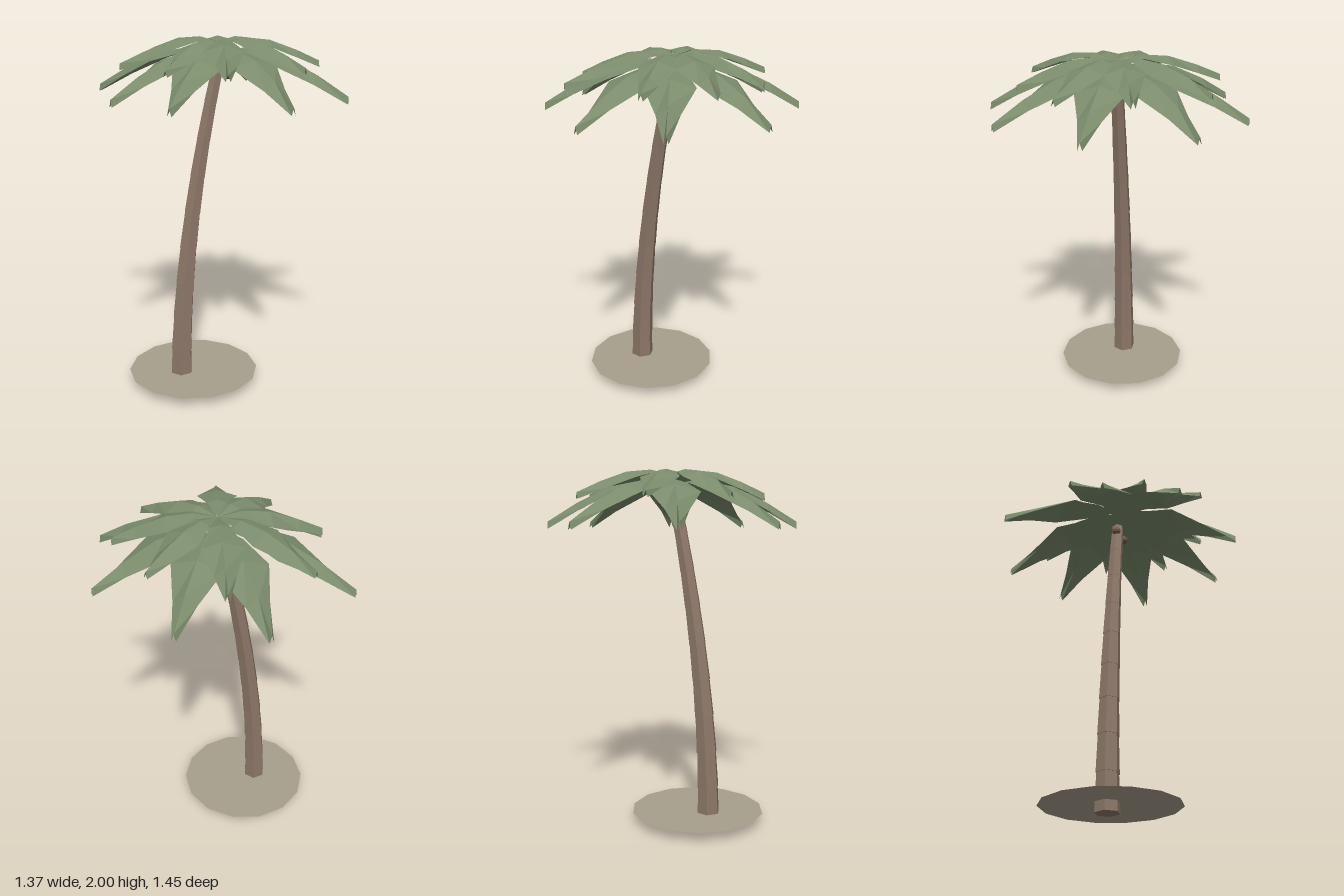
import * as THREE from 'three';

const mat = (name, color, extra = {}) => {
  const m = new THREE.MeshStandardMaterial({ color, flatShading: true, ...extra });
  m.name = name;
  return m;
};

// Folded leaf: stations are [radius, ridge height, half width, edge drop]
function frondGeometry(stations, angle, stretch) {
  const c = Math.cos(angle), s = Math.sin(angle);
  const rows = stations.map(([r, y, w, drop]) => [-1, 0, 1].map((k) => [
    r * stretch * c - k * w * s,
    y - Math.abs(k) * drop,
    r * stretch * s + k * w * c,
  ]));
  const pos = [];
  for (let i = 0; i < rows.length - 1; i++) {
    for (let k = 0; k < 2; k++) {
      const a = rows[i][k], b = rows[i][k + 1], d = rows[i + 1][k], e = rows[i + 1][k + 1];
      if (k === 0) pos.push(...a, ...b, ...e, ...a, ...e, ...d);
      else pos.push(...a, ...b, ...e, ...a, ...e, ...d);
    }
  }
  const g = new THREE.BufferGeometry();
  g.setAttribute('position', new THREE.Float32BufferAttribute(pos, 3));
  g.computeVertexNormals();
  return g;
}

export function createModel() {
  const model = new THREE.Group();
  model.name = 'palmTree';

  const bark = mat('bark', 0x8c7768);
  const leaf = mat('leaf green', 0x7a8c6c, { side: THREE.DoubleSide });
  const sand = mat('sand', 0xa89f8c, { side: THREE.DoubleSide });
  const nut = mat('coconut brown', 0x765f52);

  const add = (parent, name, geo, material) => {
    const mesh = new THREE.Mesh(geo, material);
    mesh.name = name;
    parent.add(mesh);
    return mesh;
  };

  // Flat sand patch around the foot
  const patch = add(model, 'sandPatch', new THREE.CircleGeometry(0.38, 14), sand);
  patch.rotation.x = -Math.PI / 2;
  patch.position.set(-0.19, 0.055, 0);

  // Leaning trunk of stacked six-sided tapered segments
  const trunk = new THREE.Group();
  trunk.name = 'trunk';
  model.add(trunk);
  const segments = 9, height = 1.86;
  const spine = (t) => new THREE.Vector3(-0.27 + 0.255 * Math.pow(t, 1.86), height * t, 0);
  const up = new THREE.Vector3(0, 1, 0);
  for (let i = 0; i < segments; i++) {
    const a = spine(i / segments), b = spine((i + 1) / segments);
    const dir = b.clone().sub(a);
    const r = 0.069 - 0.0037 * i;
    const geo = new THREE.CylinderGeometry(r * 0.89, r, dir.length() + 0.004, 6);
    geo.rotateY(Math.PI / 6 * 3); // corners face left and right
    const seg = add(trunk, 'trunkSegment', geo, bark);
    seg.position.copy(a).add(b).multiplyScalar(0.5);
    seg.quaternion.setFromUnitVectors(up, dir.normalize());
  }

  // Coconuts under the crown
  for (const p of [[-0.06, 1.81, 0], [0.05, 1.83, -0.035], [0.035, 1.8, 0.025]]) {
    add(model, 'coconut', new THREE.IcosahedronGeometry(0.027, 1), nut).position.set(...p);
  }

  // Two tiers of fronds, each entry is [angle in degrees, length]
  const tiers = [
    {
      name: 'upperFrond', length: 0.55,
      stations: [[0, 1.975, 0, 0], [0.13, 2, 0.056, 0.015], [0.27, 1.985, 0.108, 0.035],
        [0.42, 1.93, 0.055, 0.04], [0.55, 1.87, 0.012, 0.035]],
      fronds: [[-67.8, 0.58], [-20, 0.51], [23.7, 0.55], [65.5, 0.54],
        [116, 0.61], [151.6, 0.52], [198, 0.555], [244, 0.6]],
    },
    {
      name: 'lowerFrond', length: 0.71,
      stations: [[0, 1.92, 0, 0], [0.17, 1.945, 0.07, 0.02], [0.35, 1.91, 0.135, 0.04],
        [0.54, 1.82, 0.062, 0.045], [0.71, 1.715, 0.012, 0.04]],
      fronds: [[3.8, 0.69], [51, 0.72], [90, 0.72], [139.7, 0.71],
        [175.5, 0.68], [228.7, 0.75], [276.7, 0.73], [313.9, 0.7]],
    },
  ];
  for (const tier of tiers) {
    const group = new THREE.Group();
    group.name = tier.name + 's';
    model.add(group);
    for (const [deg, len] of tier.fronds) {
      add(group, tier.name, frondGeometry(tier.stations, deg * Math.PI / 180, len / tier.length), leaf);
    }
  }

  return model;
}
